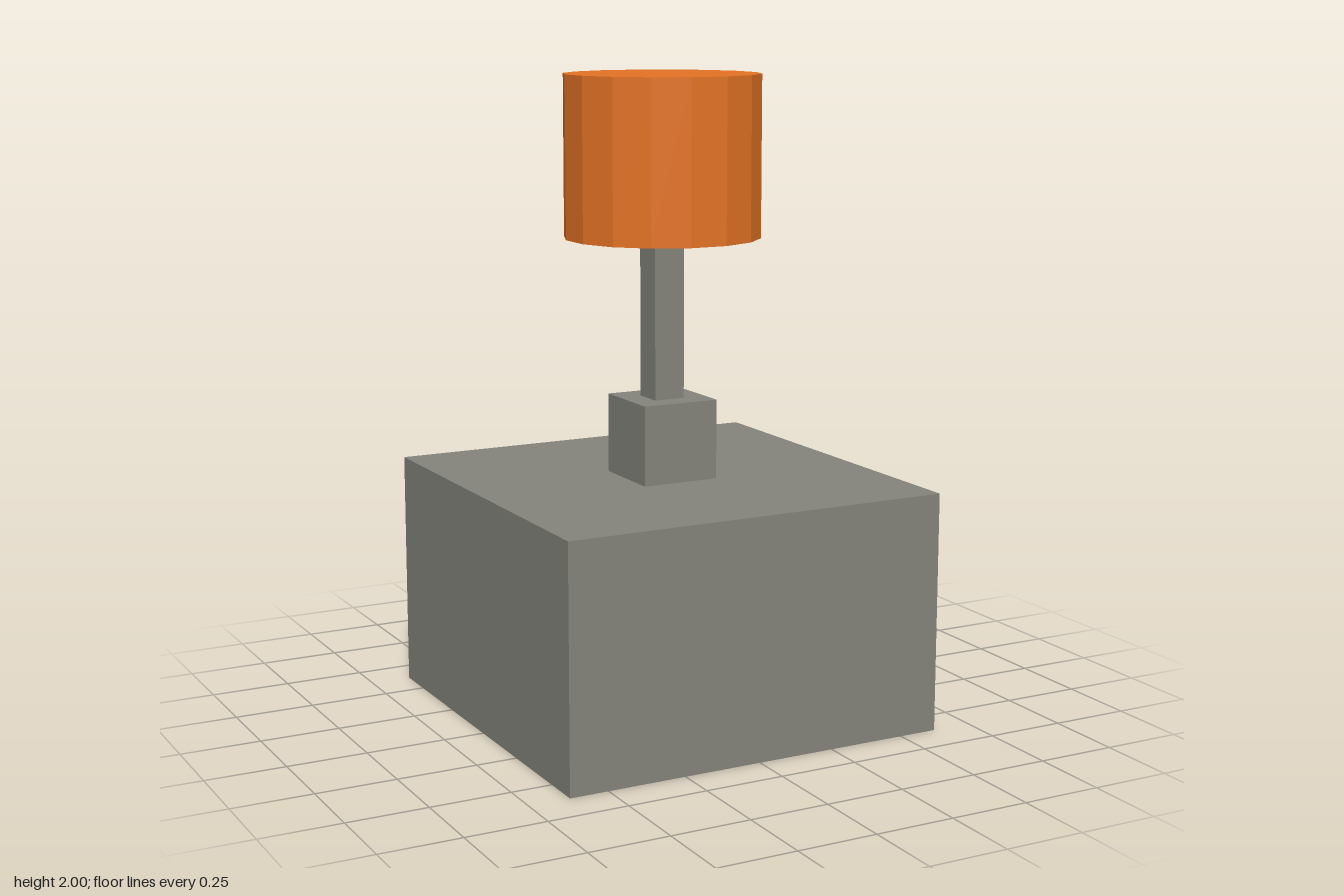
import * as THREE from 'three';

export function createModel() {
  const group = new THREE.Group();
  const stone = new THREE.MeshStandardMaterial({ name: 'warm grey', color: 0x84847c, flatShading: true });
  const orange = new THREE.MeshStandardMaterial({
    name: 'orange', color: 0xe47325, flatShading: true, side: THREE.DoubleSide,
  });

  const add = (name, geometry, material, y) => {
    const mesh = new THREE.Mesh(geometry, material);
    mesh.name = name;
    mesh.position.y = y;
    group.add(mesh);
  };

  // Square block standing from bottom to top, centred on the axis
  const block = (name, width, bottom, top) =>
    add(name, new THREE.BoxGeometry(width, top - bottom, width), stone, (bottom + top) / 2);

  block('base', 1.245, 0, 0.75);
  block('socket', 0.25, 0.75, 1);
  block('stem', 0.1, 1, 1.99);

  // Sixteen-sided thin shade, closed on top and open below
  const sides = 16, radius = 0.305, halfStep = Math.PI / sides;
  add('shadeWall', new THREE.CylinderGeometry(radius, radius, 0.5, sides, 1, true, halfStep), orange, 1.75);
  const lid = new THREE.CircleGeometry(radius, sides, halfStep).rotateX(-Math.PI / 2);
  add('shadeTop', lid, orange, 2);

  return group;
}
